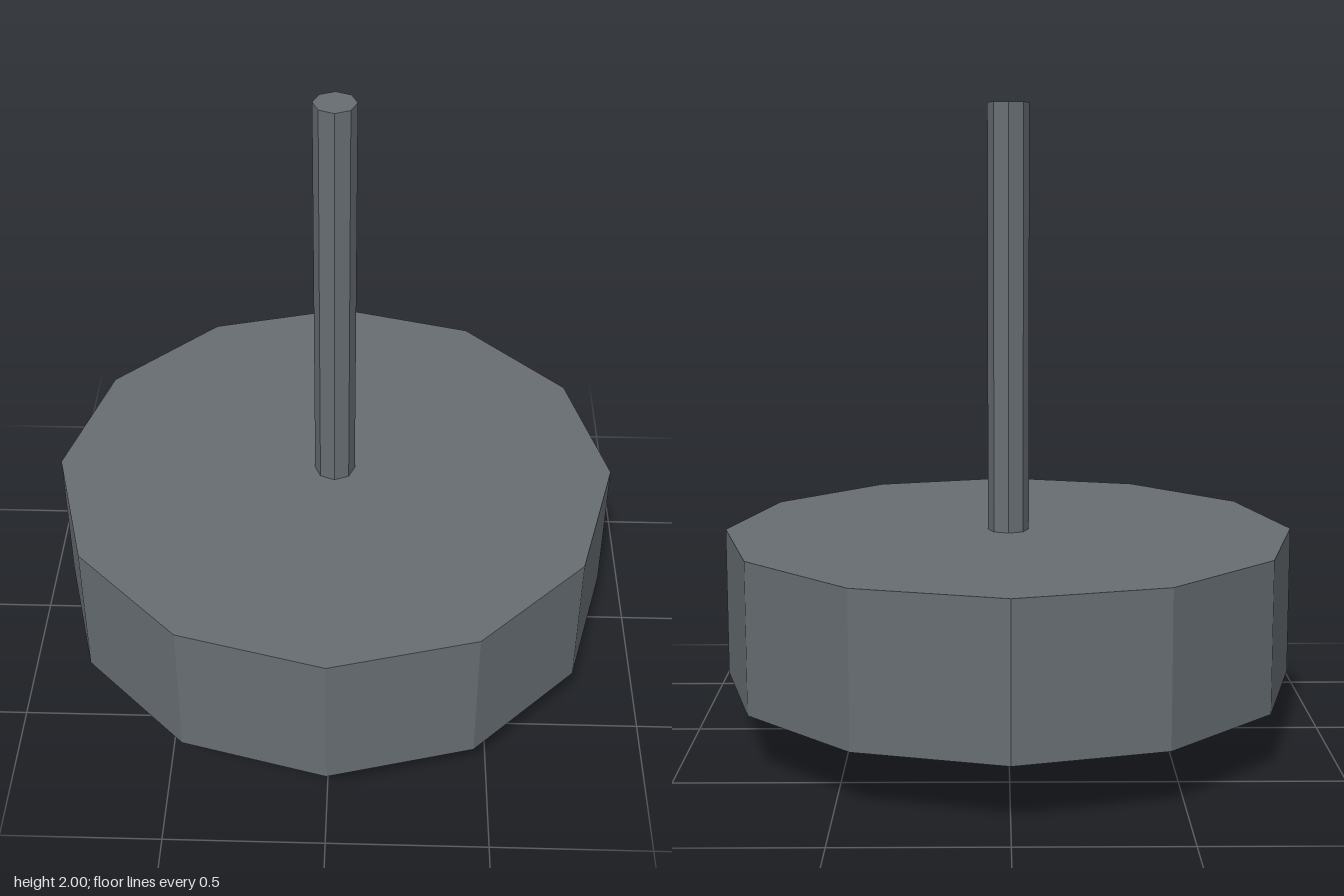
import * as THREE from 'three';

export function createModel() {
  const group = new THREE.Group();
  const slate = new THREE.MeshStandardMaterial({ color: 0x676d72, flatShading: true });
  slate.name = 'slate grey';
  const tan = new THREE.MeshStandardMaterial({ color: 0xdbc39d, flatShading: true });
  tan.name = 'pale tan';

  // Upright faceted cylinder spanning y0 to y1
  function prism(name, radius, sides, y0, y1, material) {
    const mesh = new THREE.Mesh(
      new THREE.CylinderGeometry(radius, radius, y1 - y0, sides), material);
    mesh.name = name;
    mesh.position.y = (y0 + y1) / 2;
    group.add(mesh);
  }

  prism('foot', 0.342, 10, 0, 0.19, tan);
  prism('disc', 0.9, 12, 0.19, 0.66, slate);
  prism('rod', 0.065, 8, 0.66, 2, slate);

  return group;
}
